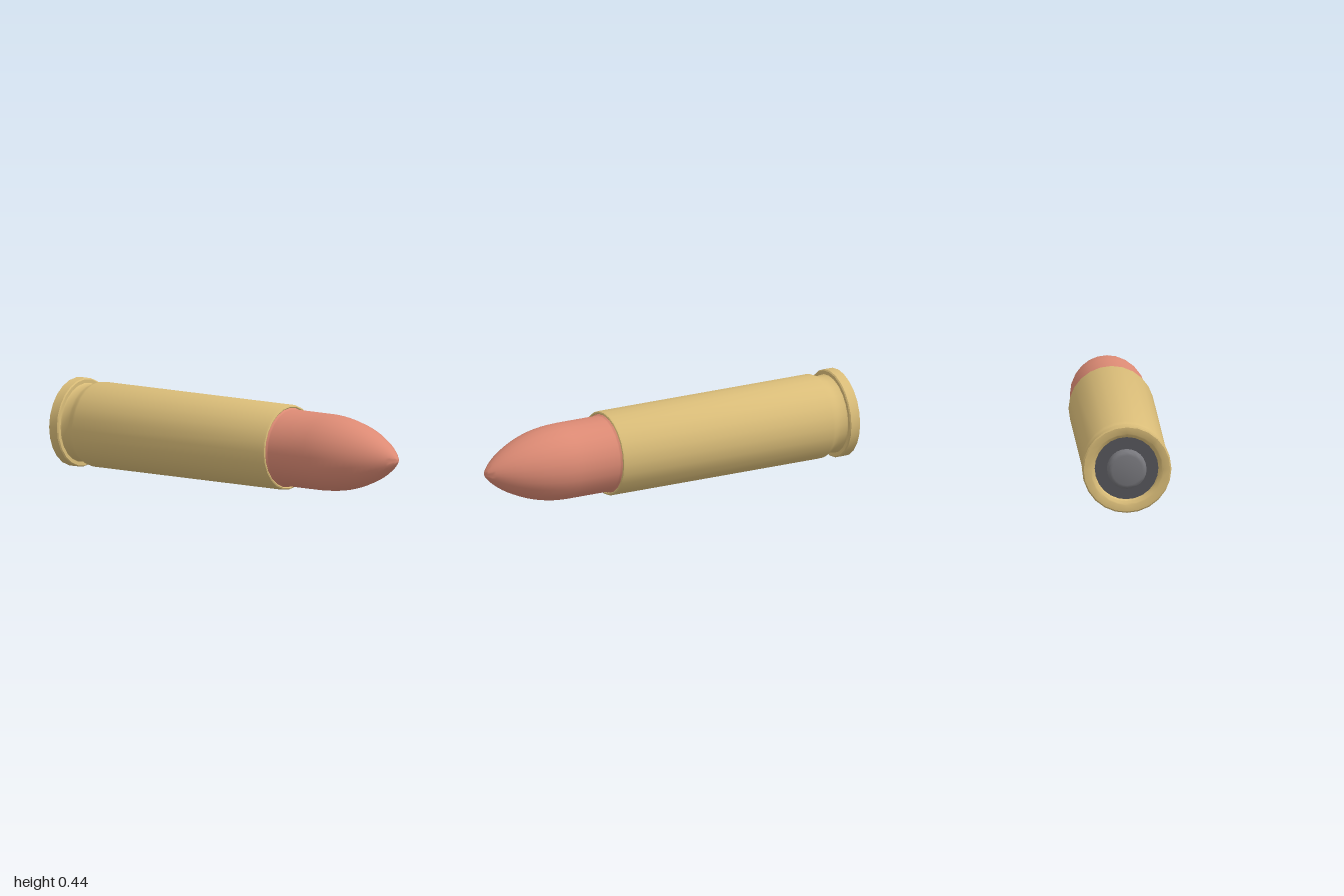
import * as THREE from 'three';
import { toCreasedNormals } from 'three/addons/utils/BufferGeometryUtils.js';

const RADIUS = 0.2175;
const SIDES = 24;

// Revolves [x along the axis, radius] pairs around the long axis
function turned(name, profile, color, crease = 0.6) {
  const points = profile.map(([x, r]) => new THREE.Vector2(r, x));
  const geometry = toCreasedNormals(new THREE.LatheGeometry(points, SIDES), crease);
  geometry.rotateZ(-Math.PI / 2);
  const mesh = new THREE.Mesh(geometry, new THREE.MeshStandardMaterial({ color }));
  mesh.name = name;
  mesh.position.y = RADIUS;
  return mesh;
}

export function createModel() {
  const group = new THREE.Group();
  group.name = 'cartridge';

  // Brass case: recessed base, rim, extraction groove, body and mouth
  group.add(turned('case', [
    [-0.945, 0.155], [-0.965, 0.16], [-0.975, 0.172], [-0.978, 0.178],
    [-0.978, 0.211], [-0.973, RADIUS], [-0.926, RADIUS], [-0.921, 0.212],
    [-0.921, 0.194], [-0.915, 0.191], [-0.88, 0.191], [-0.865, 0.194],
    [-0.845, 0.206], [-0.83, 0.209], [0.325, 0.209], [0.334, 0.206],
    [0.337, 0.2], [0.334, 0.195], [0.32, 0.194],
  ], 0xd9bc78));

  // Recessed base plate
  group.add(turned('basePlate', [[-0.947, 0], [-0.947, 0.158]].reverse().map(([x, r]) => [x, r]).reverse(), 0x55555a));

  // Primer with rounded edge
  group.add(turned('primer', [
    [-1, 0], [-1, 0.074], [-0.997, 0.085], [-0.99, 0.093], [-0.98, 0.096], [-0.945, 0.096],
  ], 0x77777c));

  // Copper bullet: flared seat, straight shank, rounded ogive
  const bullet = [[0.325, 0.196], [0.334, 0.194], [0.339, 0.189], [0.345, 0.188]];
  const steps = 18;
  for (let i = 0; i <= steps; i++) {
    const t = Math.sin((i / steps) * Math.PI / 2);
    bullet.push([0.56 + 0.44 * t, i === steps ? 0 : 0.188 * Math.pow(1 - t * t, 0.75)]);
  }
  group.add(turned('bullet', bullet, 0xdc8a74, 0.8));

  return group;
}
